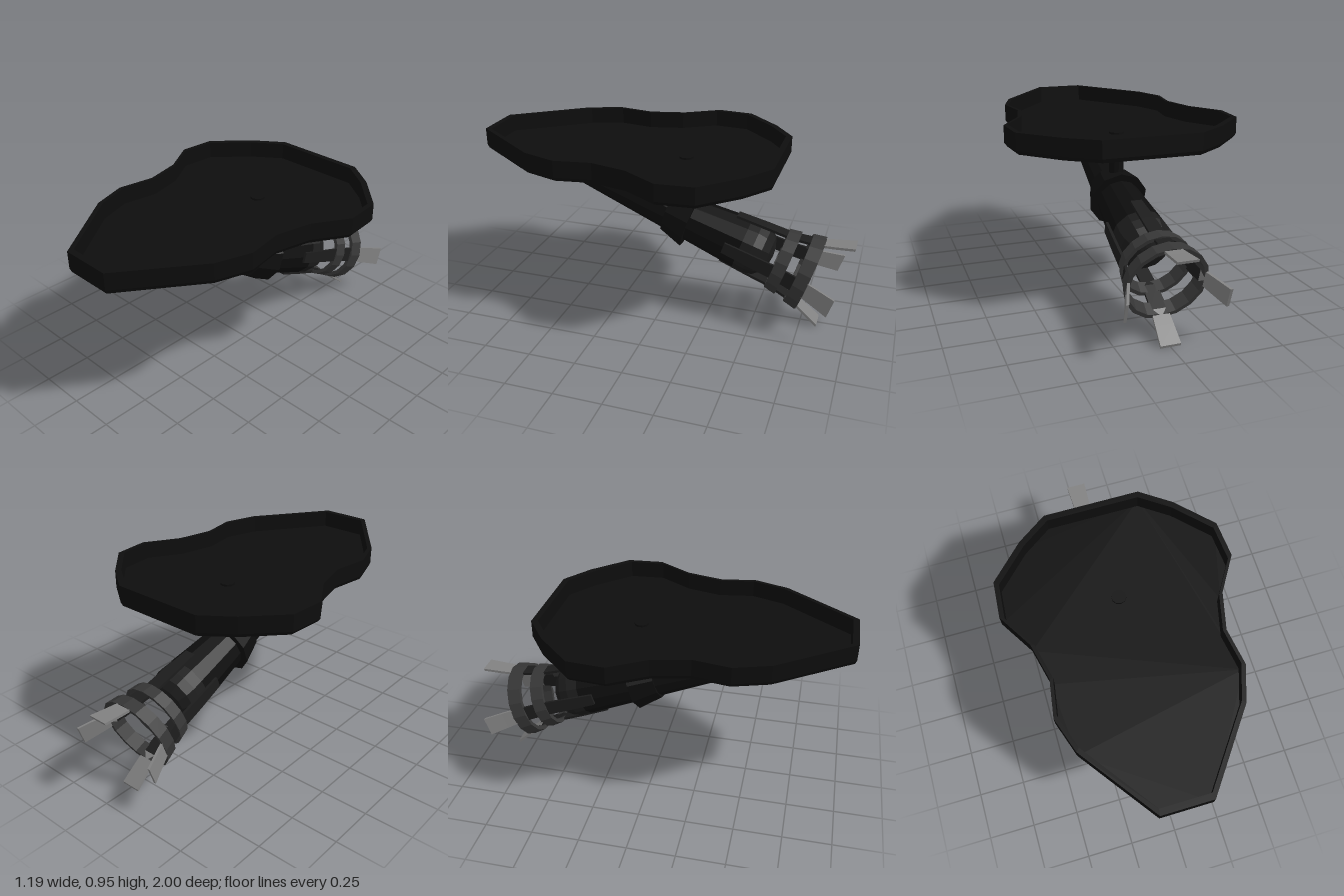
import * as THREE from 'three';

const mat = (color, side = THREE.FrontSide) => {
  const m = new THREE.MeshStandardMaterial({ color, flatShading: true, side });
  return m;
};
const DARK = mat(0x0d0d0d), HEAD = mat(0x1c1c1c), BAND = mat(0x363636), TIP = mat(0x808080);

function add(parent, name, geometry, material) {
  const mesh = new THREE.Mesh(geometry, material);
  mesh.name = name;
  parent.add(mesh);
  return mesh;
}

// Half outline of the plaque: x, z from the front end to the back
const HALF = [[0.13, 1], [0.41, 0.62], [0.47, 0.44], [0.44, 0.25], [0.485, 0.06],
  [0.595, -0.12], [0.58, -0.31], [0.405, -0.49], [0.25, -0.6]];

// Mirrored outline, scaled about the plaque's middle
function outline(scale = 1) {
  const right = HALF.map(([x, z]) => new THREE.Vector2(x * scale, -((z - 0.2) * scale + 0.2)));
  const left = right.map(p => new THREE.Vector2(-p.x, p.y)).reverse();
  return [...right, ...left];
}

function slab(shape, y, height) {
  return new THREE.ExtrudeGeometry(shape, { depth: height, bevelEnabled: false })
    .rotateX(-Math.PI / 2).translate(0, y, 0);
}

// Strip following [distance along torch, radius, width] stations
function strip(stations) {
  const n = stations.length - 1;
  const geo = new THREE.BoxGeometry(1, 1, 0.014, 1, n, 1);
  const p = geo.attributes.position;
  for (let i = 0; i < p.count; i++) {
    const [s, r, w] = stations[Math.round((p.getY(i) + 0.5) * n)];
    p.setXYZ(i, p.getX(i) * w, s, p.getZ(i) + r);
  }
  geo.computeVertexNormals();
  return geo;
}

// Flared band with a rectangular section
function band(s, r, width, flare, thick) {
  const a = s - width / 2, b = s + width / 2;
  const pts = [[r - thick, a], [r, a], [r + flare, b], [r + flare - thick, b], [r - thick, a]];
  return new THREE.LatheGeometry(pts.map(q => new THREE.Vector2(...q)), 16);
}

export function createModel() {
  const model = new THREE.Group();
  model.name = 'wallTorch';

  // Plaque: floor with a chamfered underside and a raised rim
  const plaque = new THREE.Group();
  plaque.name = 'plaque';
  model.add(plaque);
  const floor = slab(new THREE.Shape(outline()), 0.84, 0.02);
  const fp = floor.attributes.position;
  for (let i = 0; i < fp.count; i++) {
    if (fp.getY(i) < 0.85) fp.setXYZ(i, fp.getX(i) * 0.975, 0.84, (fp.getZ(i) - 0.2) * 0.99 + 0.2);
  }
  floor.computeVertexNormals();
  add(plaque, 'plaqueFloor', floor, DARK);
  const rimShape = new THREE.Shape(outline());
  rimShape.holes.push(new THREE.Path(outline(0.96)));
  add(plaque, 'plaqueRim', slab(rimShape, 0.86, 0.088), DARK);

  // Post joining the plaque to the collar
  const post = add(model, 'post', new THREE.CylinderGeometry(0.038, 0.038, 0.27, 10), DARK);
  post.position.set(0, 0.735, -0.095);

  // Torch: local +y runs from the thin end to the head
  const torch = new THREE.Group();
  torch.name = 'torch';
  torch.position.set(0, 0.822, 0.8);
  torch.rotation.x = -Math.PI / 2 - 0.323;
  model.add(torch);

  const handle = [[0, 0], [0.035, 0], [0.142, 1.28]];
  add(torch, 'handle', new THREE.LatheGeometry(handle.map(q => new THREE.Vector2(...q)), 12), DARK);
  const collar = [[0.09, 0.846], [0.118, 0.846], [0.157, 0.98], [0.1, 0.98]];
  add(torch, 'collar', new THREE.LatheGeometry(collar.map(q => new THREE.Vector2(...q)), 10), DARK);
  const head = [[0.138, 1.26], [0.146, 1.34], [0.136, 1.39], [0.1, 1.43], [0.05, 1.45], [0, 1.455]];
  add(torch, 'head', new THREE.LatheGeometry(head.map(q => new THREE.Vector2(...q)), 12), HEAD);

  // Basket bands
  add(torch, 'innerBand', band(1.51, 0.17, 0.065, 0.012, 0.02), BAND);
  add(torch, 'outerBand', band(1.635, 0.196, 0.07, 0.014, 0.02), BAND);

  // Four prongs: dark stems and paler flared tips
  const stem = strip([[1.2, 0.14, 0.06], [1.36, 0.15, 0.07], [1.5, 0.156, 0.076], [1.64, 0.184, 0.084]]);
  const tip = strip([[1.64, 0.184, 0.084], [1.72, 0.214, 0.094], [1.815, 0.252, 0.104]]);
  for (let i = 0; i < 4; i++) {
    const prong = new THREE.Group();
    prong.name = 'prong';
    prong.rotation.y = i * Math.PI / 2;
    add(prong, 'prongStem', stem, HEAD);
    add(prong, 'prongTip', tip, TIP);
    torch.add(prong);
  }
  return model;
}
